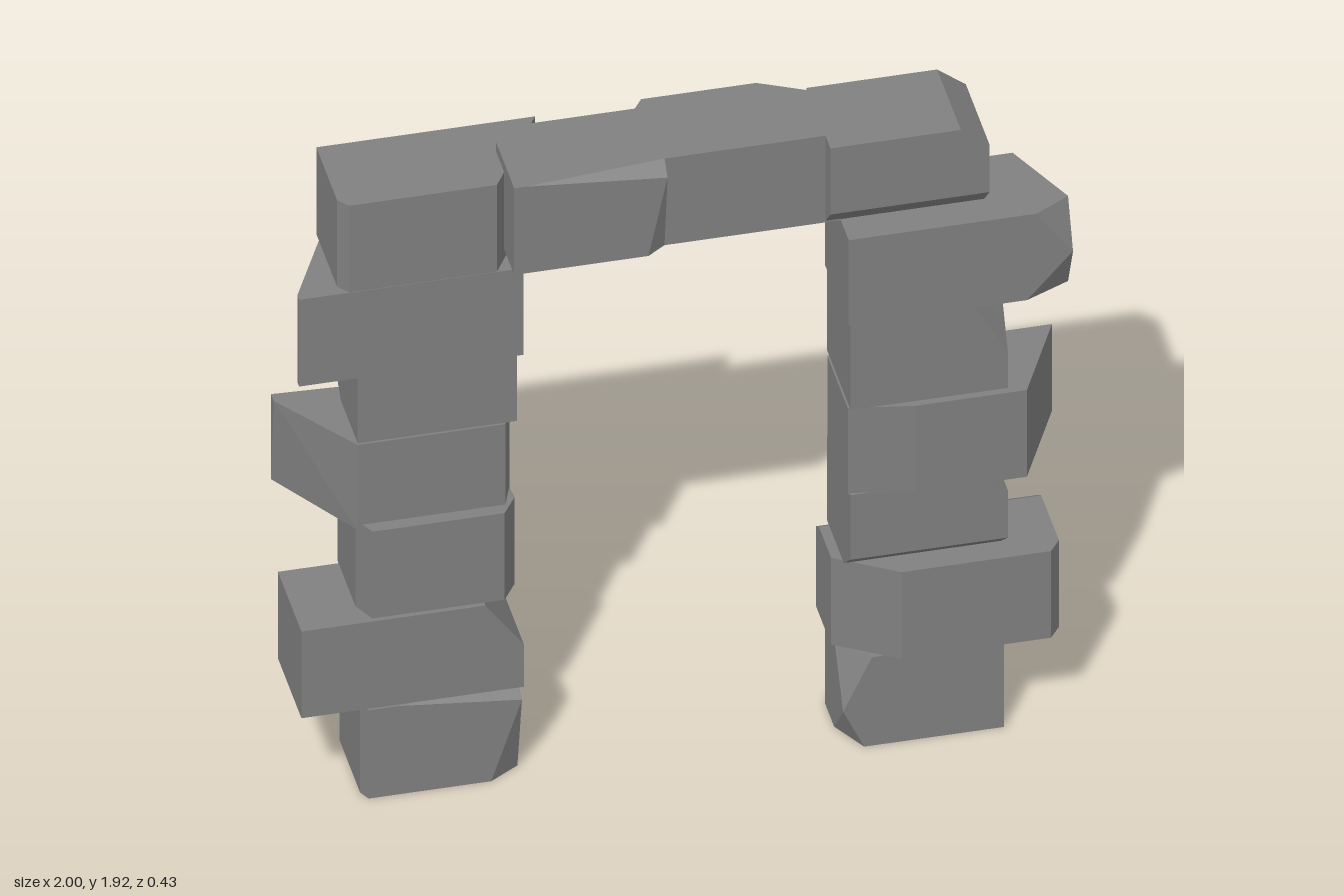
import * as THREE from 'three';
import { ConvexGeometry } from 'three/addons/geometries/ConvexGeometry.js';

const stone = new THREE.MeshStandardMaterial({ color: 0x808080 });
stone.name = 'grey stone';

// A box with chipped corners. Each cut is [corner pattern, [dx, dy, dz]]: the pattern
// gives the sign on x, y, z ('*' is either) and the amounts are set back along each axis.
function block(name, x, y, z, cuts = []) {
  const points = [];
  for (const i of [0, 1]) for (const j of [0, 1]) for (const k of [0, 1]) {
    const side = [i, j, k];
    const corner = [x[i], y[j], z[k]];
    const cut = cuts.find(([pattern]) =>
      side.every((s, a) => pattern[a] === '*' || pattern[a] === (s ? '+' : '-')));
    if (!cut) {
      points.push(new THREE.Vector3(...corner));
      continue;
    }
    cut[1].forEach((d, a) => {
      if (!d) return;
      const p = [...corner];
      p[a] += side[a] ? -d : d;
      points.push(new THREE.Vector3(...p));
    });
  }
  const mesh = new THREE.Mesh(new ConvexGeometry(points), stone);
  mesh.name = name;
  return mesh;
}

function stack(name, blocks) {
  const group = new THREE.Group();
  group.name = name;
  blocks.forEach((b, i) => group.add(block(`${name}Block${i + 1}`, ...b)));
  return group;
}

export function createModel() {
  const model = new THREE.Group();
  model.name = 'stoneArch';

  // Pillar on the -x side, bottom to top
  model.add(stack('rightPillar', [
    [[-0.83, -0.415], [0, 0.28], [-0.18, 0.08], [
      ['+++', [0.32, 0.035, 0.05]], ['+-+', [0.08, 0, 0.05]],
      ['-+-', [0.15, 0.15, 0.08]], ['-*+', [0.015, 0, 0.03]]]],
    [[-0.99, -0.41], [0.285, 0.56], [-0.18, 0.08], [['++*', [0.1, 0.14, 0]]]],
    [[-0.835, -0.42], [0.57, 0.845], [-0.18, 0.08], [
      ['++-', [0.03, 0.05, 0]], ['+--', [0.05, 0, 0.07]],
      ['+*+', [0.04, 0, 0.06]], ['-*+', [0.03, 0, 0.06]]]],
    [[-1, -0.42], [0.83, 1.1], [-0.215, 0.045], [
      ['-*+', [0.165, 0, 0.26]], ['+*+', [0.03, 0, 0.08]],
      ['*+-', [0, 0.05, 0.03]]]],
    [[-0.835, -0.42], [1.105, 1.375], [-0.215, 0.045], [['*--', [0, 0.07, 0.075]]]],
    [[-0.995, -0.41], [1.335, 1.61], [-0.185, 0.075], [
      ['-*-', [0.12, 0, 0.24]], ['+*-', [0.05, 0, 0.08]]]],
    [[-0.89, -0.32], [1.615, 1.89], [-0.18, 0.08], [
      ['+*+', [0.16, 0, 0.26]], ['-*+', [0.025, 0, 0.03]]]],
  ]));

  // Pillar on the +x side, bottom to top
  model.add(stack('leftPillar', [
    [[0.405, 0.825], [0, 0.28], [-0.105, 0.155], [
      ['-++', [0.075, 0.16, 0.1]], ['--+', [0.055, 0, 0.1]], ['-*-', [0.05, 0, 0.06]]]],
    [[0.39, 0.97], [0.285, 0.56], [-0.08, 0.185], [
      ['-*+', [0.16, 0, 0.1]], ['+*+', [0.03, 0, 0.04]], ['*+-', [0, 0.02, 0.03]]]],
    [[0.415, 0.825], [0.565, 0.835], [-0.065, 0.195], [
      ['*-+', [0, 0.065, 0.075]], ['++*', [0.065, 0.055, 0]]]],
    [[0.41, 0.995], [0.83, 1.105], [-0.042, 0.215], [
      ['+*+', [0.125, 0, 0.255]], ['-*+', [0.17, 0, 0.03]]]],
    [[0.415, 0.825], [1.105, 1.375], [-0.065, 0.195], [['+++', [0.085, 0.155, 0.075]]]],
    [[0.41, 0.995], [1.375, 1.645], [-0.07, 0.195], [
      ['+++', [0.095, 0.135, 0.055]], ['++-', [0.095, 0.135, 0]], ['+-+', [0.12, 0, 0.055]]]],
  ]));

  // Lintel stones across the top
  model.add(stack('lintel', [
    [[-0.45, -0.05], [1.645, 1.92], [-0.115, 0.143], [
      ['+++', [0.37, 0.035, 0.035]], ['+-+', [0.05, 0, 0.035]], ['-*-', [0.08, 0, 0.055]]]],
    [[-0.075, 0.41], [1.645, 1.92], [-0.15, 0.108], [
      ['+*-', [0.16, 0, 0.08]], ['-*-', [0.025, 0, 0.035]]]],
    [[0.37, 0.785], [1.645, 1.92], [-0.1, 0.163], [
      ['*-+', [0, 0.065, 0.06]], ['++*', [0.075, 0.06, 0]]]],
  ]));

  return model;
}
